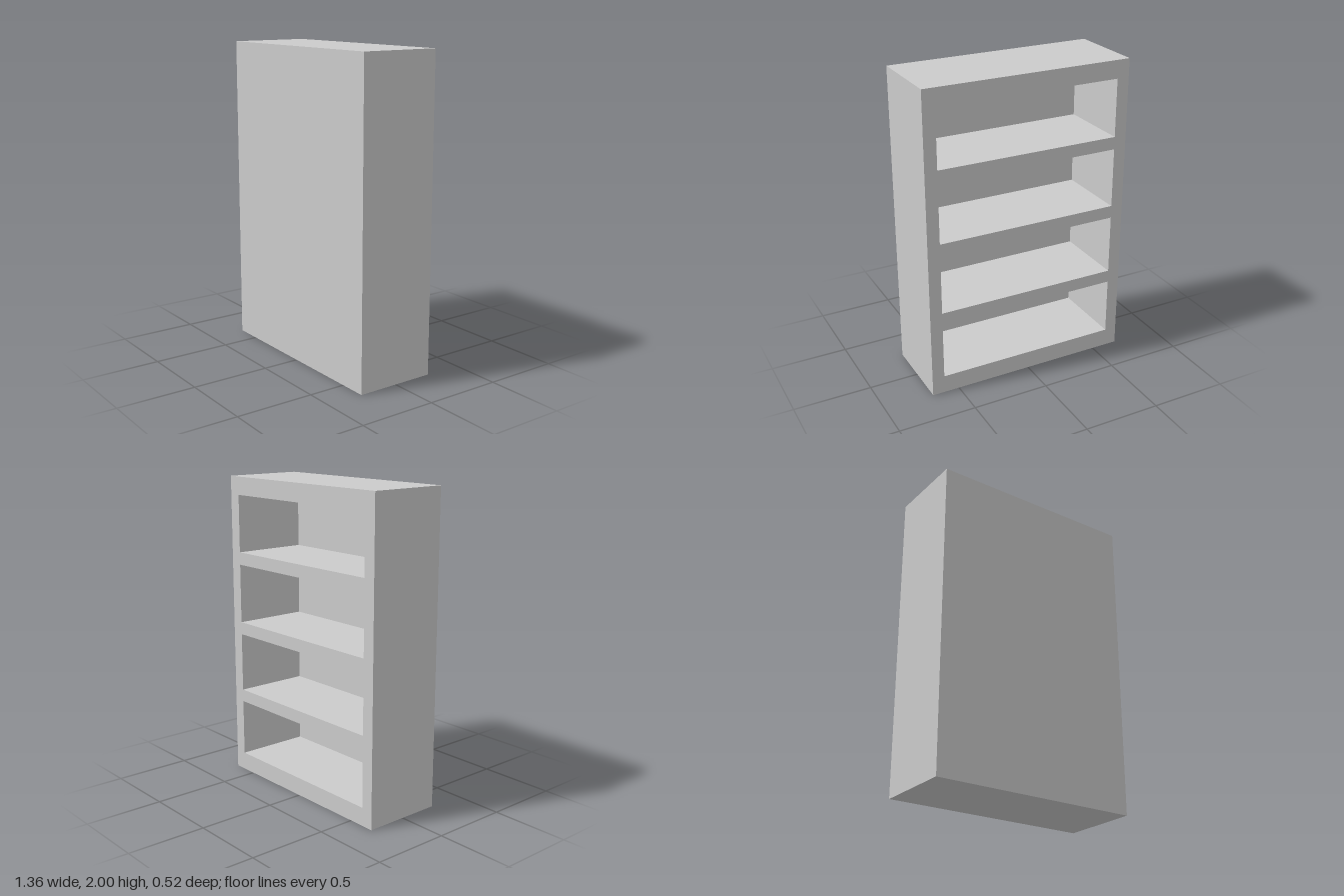
import * as THREE from 'three';

const W = 1.357, H = 2, D = 0.522;   // overall size
const WALL = 0.08, PANEL = 0.03;     // side wall and front panel thickness

export function createModel() {
  const group = new THREE.Group();
  group.name = 'shelfCabinet';
  const material = new THREE.MeshStandardMaterial({ color: 0xcccccc, flatShading: true });

  const rectangle = (path, x, y0, y1) =>
    path.moveTo(-x, y0).lineTo(x, y0).lineTo(x, y1).lineTo(-x, y1).closePath();

  // Carcass: walls, top, base and shelves around four compartments open to the back
  const outline = rectangle(new THREE.Shape(), W / 2, 0, H);
  const compartments = [[0.117, 0.49], [0.572, 0.959], [1.041, 1.428], [1.51, 1.883]];
  for (const [bottom, top] of compartments) {
    outline.holes.push(rectangle(new THREE.Path(), W / 2 - WALL, bottom, top));
  }
  const carcass = new THREE.Mesh(
    new THREE.ExtrudeGeometry(outline, { depth: D - PANEL, bevelEnabled: false }), material);
  carcass.name = 'carcassWithShelves';
  carcass.position.z = -D / 2;
  group.add(carcass);

  // Thin panel closing the front
  const panel = new THREE.Mesh(new THREE.BoxGeometry(W, H, PANEL), material);
  panel.name = 'frontPanel';
  panel.position.set(0, H / 2, D / 2 - PANEL / 2);
  group.add(panel);

  return group;
}
